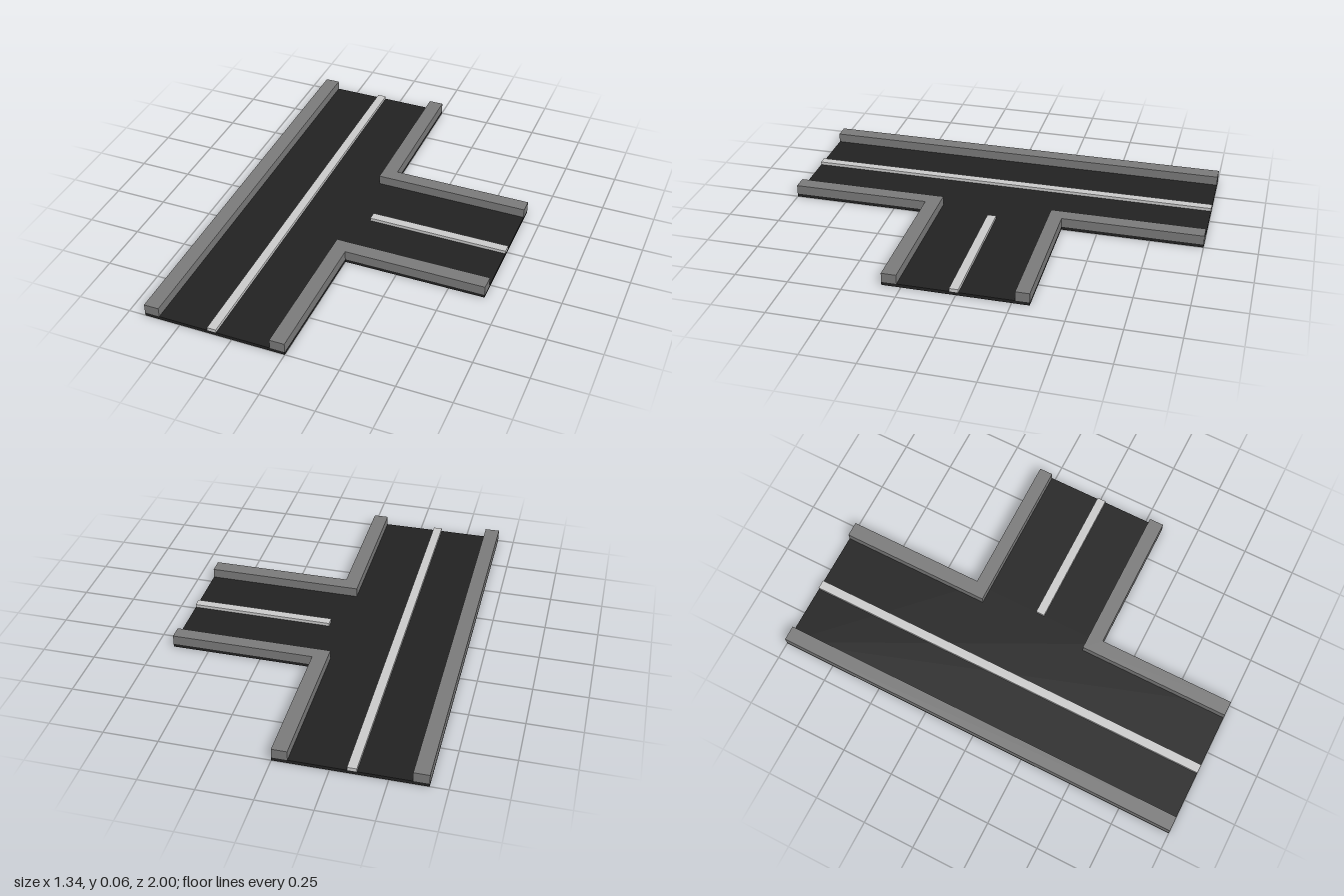
import * as THREE from 'three';

export function createModel() {
  const model = new THREE.Group();
  const asphalt = new THREE.MeshStandardMaterial({ name: 'asphalt', color: 0x222222 });
  const concrete = new THREE.MeshStandardMaterial({ name: 'concrete', color: 0x7a7a7a });
  const paint = new THREE.MeshStandardMaterial({ name: 'linePaint', color: 0xcacaca });

  const roadTop = 0.015, kerbTop = 0.06, lineTop = 0.03;
  const back = -0.33, front = 0.34, end = 0.67; // side road edges

  // Extrude a ground outline of [x, z] points between two heights
  function slab(name, points, y0, y1, material) {
    const shape = new THREE.Shape(points.map(([x, z]) => new THREE.Vector2(x, -z)));
    const geometry = new THREE.ExtrudeGeometry(shape, { depth: y1 - y0, bevelEnabled: false });
    geometry.rotateX(-Math.PI / 2).translate(0, y0, 0);
    const mesh = new THREE.Mesh(geometry, material);
    mesh.name = name;
    model.add(mesh);
  }
  const rect = (x0, x1, z0, z1) => [[x0, z0], [x0, z1], [x1, z1], [x1, z0]];

  // T-shaped road surface
  slab('roadSurface', [
    [-end, -1], [-end, 1], [0, 1], [0, front], [end, front], [end, back], [0, back], [0, -1],
  ], 0, roadTop, asphalt);

  // Straight kerb along the far side of the main road
  slab('straightKerb', rect(-end, -0.6, -1, 1), roadTop, kerbTop, concrete);

  // L-shaped kerbs around the two corners of the junction
  for (const [name, z, outer, inner] of [['backCornerKerb', -1, back, -0.265], ['frontCornerKerb', 1, front, 0.27]]) {
    slab(name, [
      [-0.07, z], [0, z], [0, outer], [end, outer], [end, inner], [-0.07, inner],
    ], roadTop, kerbTop, concrete);
  }

  // Raised centre lines
  slab('mainCentreLine', rect(-0.366, -0.324, -1, 1), roadTop, lineTop, paint);
  slab('sideCentreLine', rect(0, end, -0.012, 0.03), roadTop, lineTop, paint);

  return model;
}
